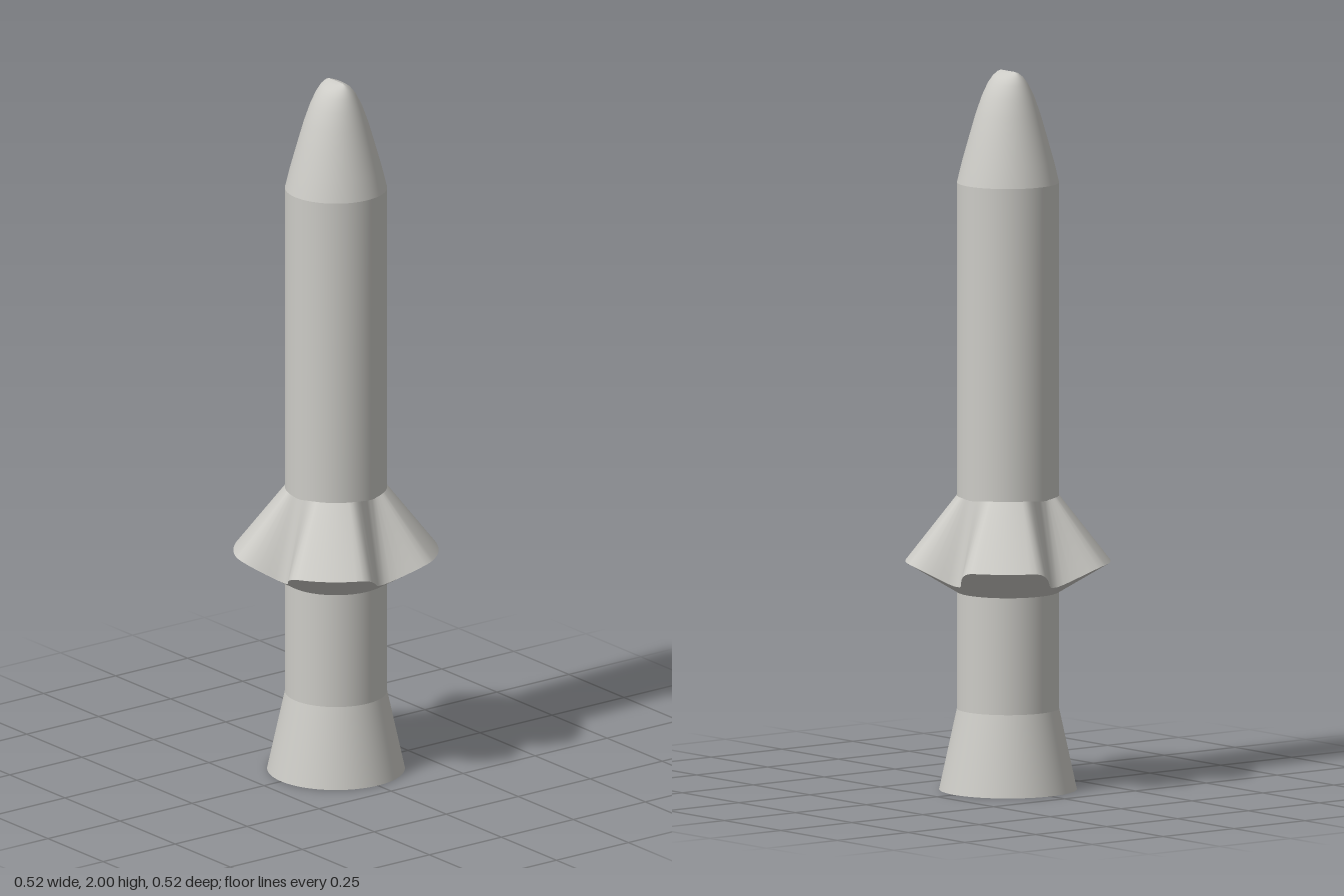
import * as THREE from 'three';

const SEGMENTS = 96;

// Skins a stack of closed rings, listed bottom to top; each ring maps an angle to [x, y, z].
function loft(rings) {
  const position = [], index = [];
  rings.forEach((ring, j) => {
    for (let i = 0; i < SEGMENTS; i++) {
      position.push(...ring((i / SEGMENTS) * Math.PI * 2));
      if (j === rings.length - 1) continue;
      const a = j * SEGMENTS + i;
      const b = j * SEGMENTS + ((i + 1) % SEGMENTS);
      index.push(a, b, b + SEGMENTS, a, b + SEGMENTS, a + SEGMENTS);
    }
  });
  const geometry = new THREE.BufferGeometry();
  geometry.setAttribute('position', new THREE.Float32BufferAttribute(position, 3));
  geometry.setIndex(index);
  geometry.computeVertexNormals();
  return geometry;
}

const ellipse = (y, rx, rz = rx) => (a) => [rx * Math.cos(a), y, -rz * Math.sin(a)];

// Four-lobed rim lying on the cone of the collar's underside.
const LOBE_ANGLE = THREE.MathUtils.degToRad(49);
function rim(a) {
  const quarter = Math.PI / 2;
  const turns = (a - LOBE_ANGLE) / quarter;
  const off = Math.abs(turns - Math.round(turns)) * 90;
  const r = 0.283 - 0.093 * THREE.MathUtils.smoothstep(off, 18, 43);
  return [r * Math.cos(a), 0.55 + (r - 0.14) * 0.6, -r * Math.sin(a)];
}

export function createModel() {
  const model = new THREE.Group();
  model.name = 'rocket';
  const grey = new THREE.MeshStandardMaterial({ color: 0xcccbc6, side: THREE.DoubleSide });
  grey.name = 'light grey';

  const add = (name, rings) => {
    const mesh = new THREE.Mesh(loft(rings), grey);
    mesh.name = name;
    model.add(mesh);
  };

  // Open flared skirt and straight tube
  add('skirt', [ellipse(0, 0.19), ellipse(0.225, 0.141)]);
  add('body', [ellipse(0.225, 0.141), ellipse(1.69, 0.141)]);

  // Lobed collar: conical underside and ruled upper surface
  add('collarUnderside', [ellipse(0.55, 0.14), rim]);
  add('collarTop', [rim, ellipse(0.82, 0.14)]);

  // Nose tapering to a short ridge along x
  add('nose', [
    ellipse(1.69, 0.141),
    ellipse(1.75, 0.127, 0.126),
    ellipse(1.82, 0.108, 0.106),
    ellipse(1.88, 0.092, 0.088),
    ellipse(1.93, 0.077, 0.069),
    ellipse(1.965, 0.064, 0.05),
    ellipse(1.985, 0.053, 0.033),
    ellipse(1.996, 0.042, 0.016),
    ellipse(2, 0.032, 0),
  ]);
  return model;
}
